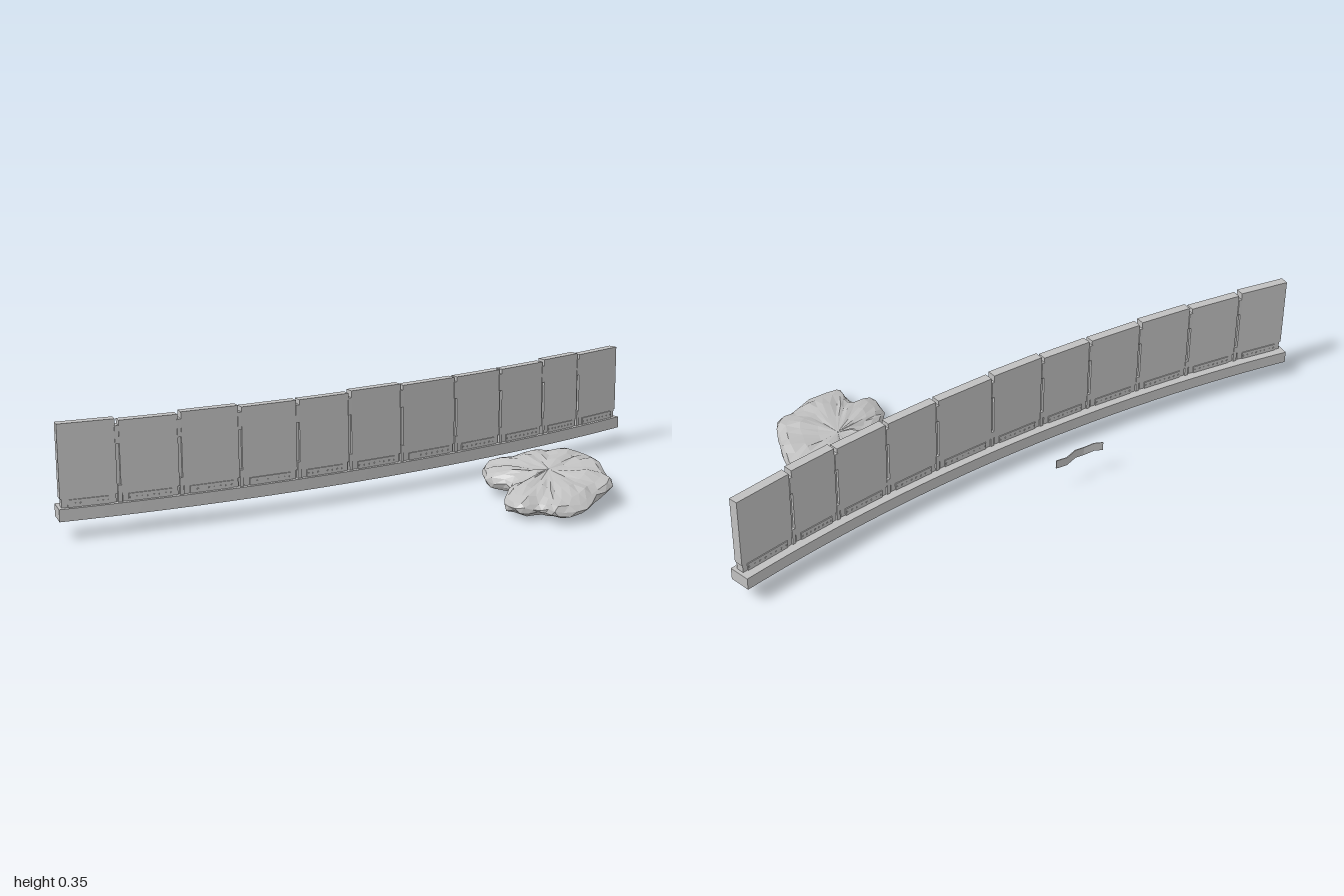
import * as THREE from 'three';

const stone = new THREE.MeshStandardMaterial({ color: 0xc0c0c0 });
stone.name = 'paleGrey';

// The barrier follows one large circular arc in plan
const R = 5.3, CX = 1.38, CZ = -5.259;
function onArc(x, off) {
  const a = Math.asin((CX - x) / R);
  return [CX - (R + off) * Math.sin(a), CZ + (R + off) * Math.cos(a)];
}

// Box bent along the arc between two x stations
function bentBox(x0, x1, off, thick, y0, y1, segs = 1) {
  const g = new THREE.BoxGeometry(1, 1, 1, segs, 1, 1);
  const p = g.attributes.position;
  for (let i = 0; i < p.count; i++) {
    const x = x0 + (p.getX(i) + 0.5) * (x1 - x0);
    const [px, pz] = onArc(x, off + p.getZ(i) * thick);
    p.setXYZ(i, px, y0 + (p.getY(i) + 0.5) * (y1 - y0), pz);
  }
  g.computeVertexNormals();
  return g;
}

function add(parent, name, geometry) {
  const m = new THREE.Mesh(geometry, stone);
  m.name = name;
  parent.add(m);
  return m;
}

function buildBarrier() {
  const g = new THREE.Group();
  g.name = 'barrier';
  const off = 0.008, thick = 0.03;
  add(g, 'baseKerb', bentBox(-0.984, 0.998, 0, 0.07, 0.075, 0.113, 44));
  add(g, 'wallCore', bentBox(-0.97, 0.985, off, 0.014, 0.11, 0.345, 44));

  // Eleven straight slabs with narrow seams, alternating slightly in height
  const seams = [-0.984, -0.82, -0.647, -0.47, -0.29, -0.118, 0.064, 0.267, 0.45, 0.636, 0.8, 0.996];
  const tall = [0, 2, 5, 9];
  for (let i = 0; i < 11; i++) {
    const a = seams[i] + 0.005, b = seams[i + 1] - 0.005;
    const top = tall.includes(i) ? 0.366 : 0.36;
    add(g, 'panel', bentBox(a, b, off, thick, 0.14, top));
    add(g, 'panelFoot', bentBox(a + 0.004, b - 0.004, off, thick - 0.004, 0.11, 0.14));
    // Low rail on the front and back of each slab
    add(g, 'footRail', bentBox(a + 0.02, b - 0.02, off, thick + 0.003, 0.113, 0.136));
    // Small studs along the foot
    for (let k = 0; k < 8; k++) {
      const x = a + 0.025 + (b - a - 0.05) * k / 7;
      add(g, 'stud', bentBox(x - 0.002, x + 0.002, off, thick + 0.007, 0.122, 0.126));
    }
  }
  // Clips bridging the seams near top and bottom
  for (let i = 1; i < 11; i++) {
    const x = seams[i];
    add(g, 'seamClipUpper', bentBox(x - 0.007, x + 0.004, off, thick + 0.004, 0.29, 0.345));
    add(g, 'seamClipLower', bentBox(x - 0.004, x + 0.007, off, thick + 0.004, 0.113, 0.165));
  }
  return g;
}

// Flat, tilted boulder: outline rings stacked from underside to top
function buildBoulder() {
  const outline = [[0.30, 0.05], [0.42, 0.07], [0.50, 0.13], [0.545, 0.23], [0.52, 0.31], [0.46, 0.40],
    [0.38, 0.49], [0.27, 0.51], [0.17, 0.535], [0.085, 0.50], [0.10, 0.43], [0.05, 0.39], [0.075, 0.31],
    [0.13, 0.27], [0.20, 0.23], [0.19, 0.14], [0.235, 0.08]];
  const curve = new THREE.CatmullRomCurve3(outline.map(([x, z]) => new THREE.Vector3(x, 0, z)), true);
  // [scale, height from -1 to 1]
  const rings = [[0.01, -0.95], [0.35, -0.95], [0.65, -0.85], [0.87, -0.6], [0.98, -0.2], [1, 0.12],
    [0.95, 0.5], [0.82, 0.82], [0.6, 0.95], [0.32, 1], [0.01, 1]];
  const N = 40, cx = 0.31, cz = 0.29, pos = [], idx = [];
  let seed = 7;
  const rnd = () => (seed = (seed * 16807) % 2147483647) / 2147483647 - 0.5;
  rings.forEach(([s, h], j) => {
    for (let i = 0; i < N; i++) {
      const p = curve.getPoint((i + (j % 2) * 0.5) / N);
      const edge = s > 0.1 ? 1 : 0;
      const k = s * (1 + edge * rnd() * 0.05);
      const x = cx + (p.x - cx) * k, z = cz + (p.z - cz) * k;
      const mid = 0.046 + (x - 0.05) * 0.1;
      const lump = 0.006 * Math.sin(x * 31 + z * 17) * Math.sin(z * 37 - x * 11);
      pos.push(x, Math.max(0, mid + h * 0.037 + edge * (lump + rnd() * 0.009)), z);
    }
  });
  for (let j = 0; j < rings.length - 1; j++) {
    for (let i = 0; i < N; i++) {
      const n = (i + 1) % N, a = j * N + i, b = j * N + n, c = a + N, d = b + N;
      if (j % 2) idx.push(a, c, d, a, d, b);
      else idx.push(a, c, b, b, c, d);
    }
  }
  const g = new THREE.BufferGeometry();
  g.setAttribute('position', new THREE.Float32BufferAttribute(pos, 3));
  g.setIndex(idx);
  const flat = g.toNonIndexed();
  flat.computeVertexNormals();
  return flat;
}

// Thin crooked strip standing behind the wall
function buildStrip() {
  const path = [[-0.14, -0.4], [-0.115, -0.385], [-0.085, -0.367], [-0.05, -0.362], [-0.01, -0.36], [0.03, -0.35]];
  const wobble = [0, 0.004, -0.004, 0.003, -0.003, 0.002];
  const n = path.length - 1;
  const g = new THREE.BoxGeometry(1, 1, 1, n, 1, 1);
  const p = g.attributes.position;
  for (let i = 0; i < p.count; i++) {
    const k = Math.round((p.getX(i) + 0.5) * n);
    p.setXYZ(i, path[k][0], 0.119 + p.getY(i) * 0.028 + wobble[k], path[k][1] + p.getZ(i) * 0.003);
  }
  const flat = g.toNonIndexed();
  flat.computeVertexNormals();
  return flat;
}

export function createModel() {
  const model = new THREE.Group();
  model.name = 'curvedBarrierWithBoulder';
  model.add(buildBarrier());
  add(model, 'boulder', buildBoulder());
  add(model, 'looseStrip', buildStrip());
  return model;
}
